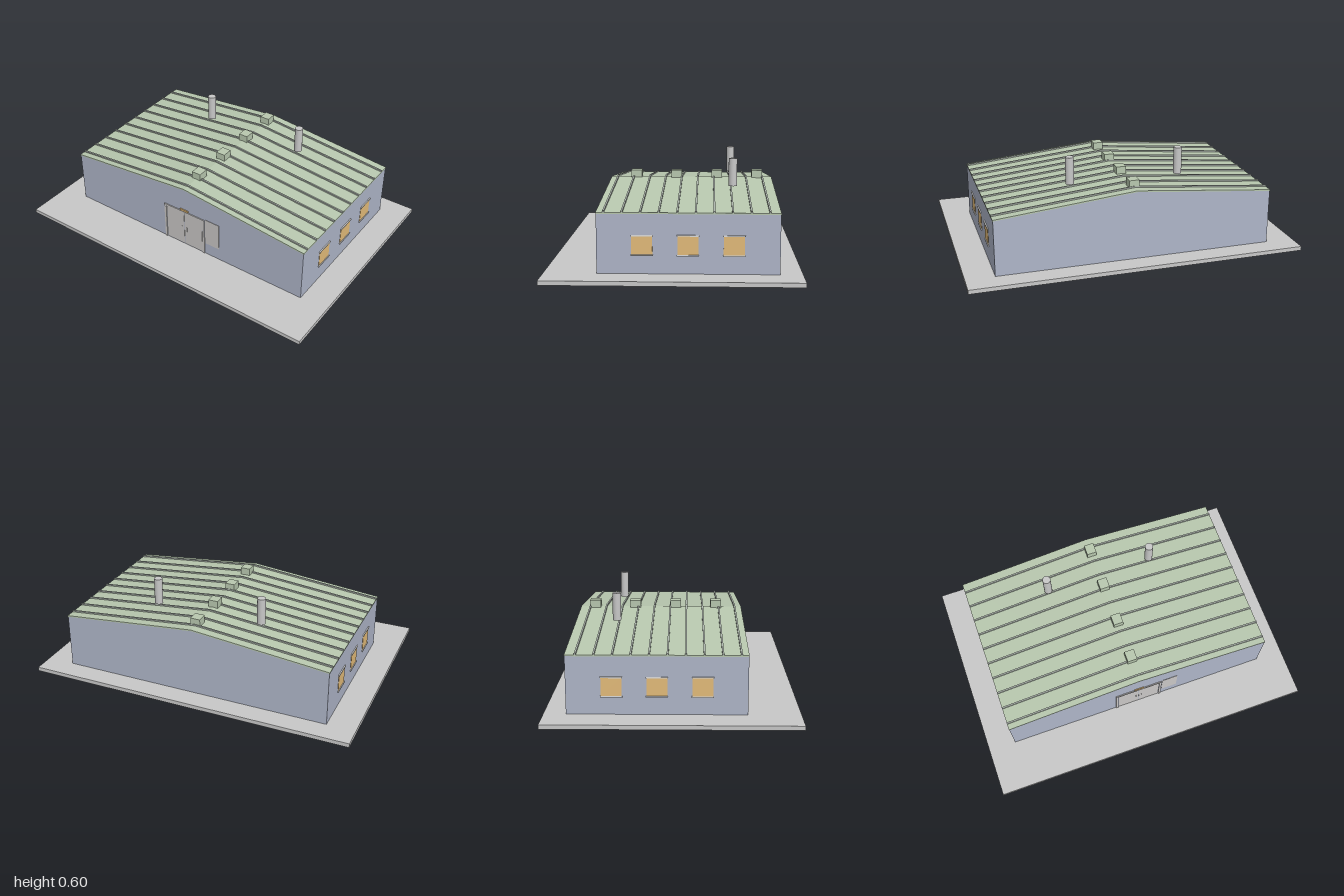
import * as THREE from 'three';

export function createModel() {
  const model = new THREE.Group();
  const material = (name, color) => {
    const m = new THREE.MeshStandardMaterial({ color });
    m.name = name;
    return m;
  };
  const concrete = material('concrete', 0xc8c8c8);
  const wallBlue = material('wall blue-grey', 0xaeb5c8);
  const roofGreen = material('roof green', 0xb8c8af);
  const ribGrey = material('rib grey-green', 0xacb4ac);
  const doorGrey = material('door grey', 0xc9c7c6);
  const metal = material('flue metal', 0xc8c8c8);
  const glass = material('window amber', 0xe3bb79);
  const trim = material('trim light grey', 0xdedede);

  const add = (name, geometry, mat, x = 0, y = 0, z = 0) => {
    const mesh = new THREE.Mesh(geometry, mat);
    mesh.name = name;
    mesh.position.set(x, y, z);
    model.add(mesh);
  };
  // Box given by its ranges on x, y and z
  const box = (name, mat, x0, x1, y0, y1, z0, z1) =>
    add(name, new THREE.BoxGeometry(x1 - x0, y1 - y0, z1 - z0), mat,
      (x0 + x1) / 2, (y0 + y1) / 2, (z0 + z1) / 2);
  // Gable profile extruded along z
  const prism = (name, mat, points, z0, z1) => {
    const shape = new THREE.Shape(points.map(([x, y]) => new THREE.Vector2(x, y)));
    const geometry = new THREE.ExtrudeGeometry(shape, { depth: z1 - z0, bevelEnabled: false });
    add(name, geometry, mat, 0, 0, z0);
  };

  const W = 0.83, BACK = -0.583, FRONT = 0.415;
  const EAVE = 0.355, RIDGE = 0.437;
  // Bent strip following the roof pitch
  const pitch = (low, high, w) => [
    [-w, EAVE + low], [0, RIDGE + low], [w, EAVE + low],
    [w, EAVE + high], [0, RIDGE + high], [-w, EAVE + high],
  ];

  box('slab', concrete, -1, 1, 0, 0.025, -0.708, 0.708);
  prism('walls', wallBlue,
    [[-W, 0.025], [W, 0.025], [W, EAVE], [0, RIDGE], [-W, EAVE]], BACK, FRONT);
  prism('roof', roofGreen, pitch(0, 0.008, W + 0.002), BACK - 0.001, FRONT + 0.001);

  // Standing seams across the roof
  for (let i = 0; i < 10; i++) {
    const z = 0.375 - i * 0.1;
    prism('roofRib', ribGrey, pitch(0.007, 0.017, W + 0.002), z - 0.005, z + 0.005);
  }

  // Ridge vents
  for (let i = 0; i < 4; i++) {
    const z = 0.257 - i * 0.25;
    box('ridgeVent', roofGreen, -0.03, 0.03, 0.43, 0.488, z - 0.033, z + 0.033);
  }

  for (const side of [-1, 1]) {
    // Flues
    add('flue', new THREE.CylinderGeometry(0.025, 0.025, 0.163, 20), metal,
      side * 0.333, 0.5185, -0.335);

    // Side windows with lintel and sill
    for (const z of [0.167, -0.083, -0.333]) {
      add('window', new THREE.BoxGeometry(0.004, 0.104, 0.114), glass, side * W, 0.183, z);
      for (const y of [0.128, 0.237]) {
        add(y < 0.2 ? 'windowSill' : 'windowLintel',
          new THREE.BoxGeometry(0.014, 0.007, 0.122), trim, side * W, y, z);
      }
    }

    // Door leaves, jambs and handles
    add('doorLeaf', new THREE.BoxGeometry(0.13, 0.23, 0.004), doorGrey,
      side * 0.067, 0.145, FRONT);
    add('doorJamb', new THREE.BoxGeometry(0.014, 0.237, 0.01), doorGrey,
      side * 0.143, 0.1435, FRONT);
    add('doorHandle', new THREE.BoxGeometry(0.004, 0.03, 0.006), doorGrey,
      side * 0.018, 0.145, FRONT + 0.002);
  }

  // Door head, lamp and wall panel
  box('doorHead', doorGrey, -0.15, 0.15, 0.262, 0.278, FRONT - 0.005, FRONT + 0.006);
  box('doorLamp', glass, -0.03, 0.03, 0.28, 0.292, FRONT - 0.002, FRONT + 0.006);
  box('wallPanel', doorGrey, 0.155, 0.255, 0.105, 0.285, FRONT - 0.001, FRONT + 0.002);

  return model;
}
